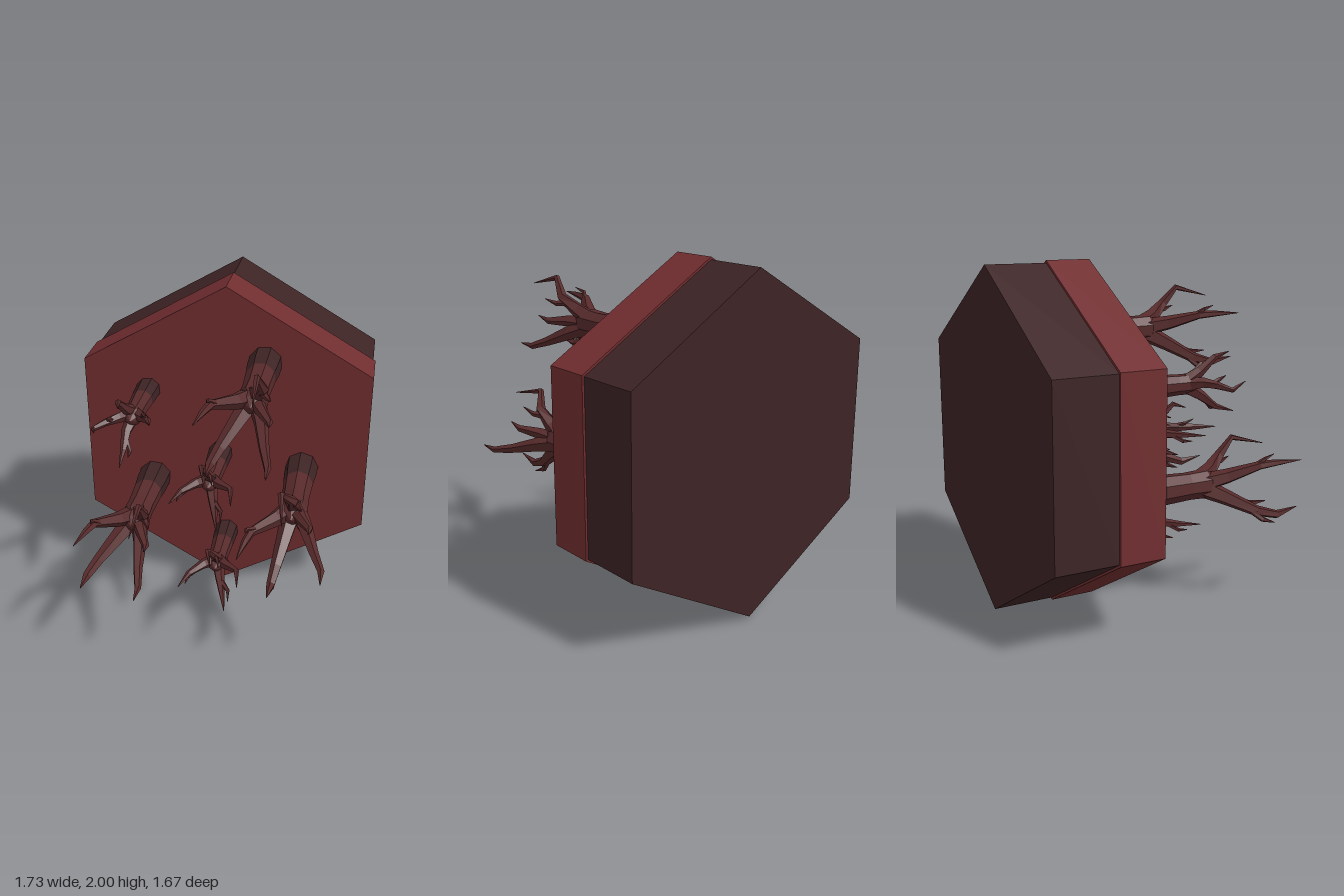
import * as THREE from 'three';

const mat = (name, color) => {
  const m = new THREE.MeshStandardMaterial({ color });
  m.name = name;
  return m;
};

// Faceted limb: points are [x, y, z, radius], with rings square to the path
function limb(points, sides) {
  const pos = [], index = [];
  const P = points.map(p => new THREE.Vector3(p[0], p[1], p[2]));
  const ref = new THREE.Vector3(0.31, 0.95, 0);
  P.forEach((p, i) => {
    const t = P[Math.min(i + 1, P.length - 1)].clone().sub(P[Math.max(i - 1, 0)]).normalize();
    const u = ref.clone().addScaledVector(t, -ref.dot(t)).normalize();
    const v = t.clone().cross(u);
    for (let j = 0; j < sides; j++) {
      const a = j / sides * Math.PI * 2, r = points[i][3];
      const q = p.clone().addScaledVector(u, Math.cos(a) * r).addScaledVector(v, Math.sin(a) * r);
      pos.push(q.x, q.y, q.z);
    }
  });
  for (let i = 0; i < P.length - 1; i++) {
    for (let j = 0; j < sides; j++) {
      const a = i * sides + j, b = i * sides + (j + 1) % sides;
      index.push(a, b, a + sides, b, b + sides, a + sides);
    }
  }
  const g = new THREE.BufferGeometry();
  g.setAttribute('position', new THREE.Float32BufferAttribute(pos, 3));
  g.setIndex(index);
  const flat = g.toNonIndexed();
  flat.computeVertexNormals();
  return flat;
}

// Tree shapes: dark root, trunk and branches growing along +z
const BIG = {
  root: [[0, 0, -0.22, 0.1], [0, 0, -0.1, 0.098], [0, 0, 0, 0.088]],
  trunk: [[0, 0, 0, 0.088], [0, 0, 0.18, 0.08], [0, 0, 0.3, 0.085], [0, 0, 0.37, 0.055], [0, 0, 0.41, 0.001]],
  branches: {
    upperBranch: [[0, 0.01, 0.24, 0.06], [0.035, 0.07, 0.36, 0.045], [0.075, 0.14, 0.46, 0.03], [0.05, 0.24, 0.54, 0.018], [0.06, 0.18, 0.77, 0.002]],
    upperTwig: [[0.06, 0.11, 0.42, 0.024], [0.1, 0.1, 0.48, 0.016], [0.125, 0.12, 0.56, 0.002]],
    sideBranch: [[0, 0, 0.24, 0.06], [-0.08, 0.035, 0.41, 0.045], [-0.18, 0.085, 0.57, 0.026], [-0.2, 0.09, 0.67, 0.02], [-0.225, 0.09, 0.83, 0.002]],
    sideTwig: [[-0.15, 0.07, 0.53, 0.02], [-0.19, 0.12, 0.6, 0.012], [-0.18, 0.14, 0.67, 0.002]],
    lowerBranch: [[0, 0, 0.24, 0.065], [-0.07, -0.09, 0.4, 0.047], [-0.14, -0.18, 0.55, 0.033], [-0.17, -0.215, 0.67, 0.025], [-0.165, -0.19, 0.82, 0.002]],
    lowerTwig: [[-0.13, -0.16, 0.51, 0.024], [-0.17, -0.23, 0.57, 0.016], [-0.175, -0.26, 0.65, 0.002]],
    innerBranch: [[0, 0, 0.24, 0.06], [0.06, -0.07, 0.41, 0.043], [0.1, -0.145, 0.58, 0.028], [0.135, -0.19, 0.7, 0.02], [0.14, -0.19, 0.82, 0.002]],
    shortBranch: [[0, 0, 0.27, 0.05], [0.06, 0, 0.42, 0.034], [0.12, -0.01, 0.54, 0.02], [0.13, 0.01, 0.63, 0.002]],
  },
};
const SMALL = {
  root: [[0, 0, -0.22, 0.074], [0, 0, -0.14, 0.072], [0, 0, -0.05, 0.066]],
  trunk: [[0, 0, -0.05, 0.066], [0, 0, 0.08, 0.058], [0, 0, 0.17, 0.058], [0, 0, 0.21, 0.038], [0, 0, 0.24, 0.001]],
  branches: {
    upperBranch: [[0, 0, 0.12, 0.045], [0.01, 0.07, 0.22, 0.03], [0, 0.13, 0.27, 0.022], [-0.02, 0.19, 0.325, 0.015], [0.015, 0.15, 0.44, 0.002]],
    upperTwig: [[0, 0.1, 0.24, 0.018], [0.03, 0.11, 0.29, 0.012], [0.045, 0.09, 0.35, 0.002]],
    sideBranch: [[0, 0, 0.12, 0.045], [-0.07, 0.025, 0.23, 0.03], [-0.14, 0.02, 0.33, 0.018], [-0.18, 0.01, 0.46, 0.002]],
    sideTwig: [[-0.1, 0.02, 0.27, 0.018], [-0.15, -0.015, 0.32, 0.012], [-0.155, -0.02, 0.38, 0.002]],
    innerBranch: [[0, 0, 0.12, 0.045], [0.07, 0.025, 0.22, 0.03], [0.145, 0.045, 0.3, 0.018], [0.165, 0.01, 0.42, 0.002]],
    lowerBranch: [[0, 0, 0.12, 0.045], [0.025, -0.07, 0.22, 0.03], [0.05, -0.12, 0.3, 0.02], [0.085, -0.165, 0.43, 0.002]],
    lowerTwig: [[0.03, -0.08, 0.23, 0.02], [0.09, -0.1, 0.31, 0.012], [0.1, -0.13, 0.38, 0.002]],
  },
};

function makeTree(shape, bark, darkBark) {
  const tree = new THREE.Group();
  const add = (name, points, sides, m) => {
    const mesh = new THREE.Mesh(limb(points, sides), m);
    mesh.name = name;
    tree.add(mesh);
  };
  add('root', shape.root, 8, darkBark);
  add('trunk', shape.trunk, 8, bark);
  for (const [name, points] of Object.entries(shape.branches)) add(name, points, 5, bark);
  return tree;
}

export function createModel() {
  const group = new THREE.Group();
  const red = mat('red soil', 0x702d2f);
  const dark = mat('dark earth', 0x3d2324);
  const bark = mat('reddish bark', 0x572a2b);

  // Hexagonal tile: red surface layer in front, dark layer behind
  const slab = (name, r, z0, z1, m) => {
    const g = new THREE.CylinderGeometry(r, r, z1 - z0, 6).toNonIndexed();
    g.computeVertexNormals();
    g.rotateX(Math.PI / 2);
    const mesh = new THREE.Mesh(g, m);
    mesh.name = name;
    mesh.position.set(0, 1, (z0 + z1) / 2);
    group.add(mesh);
  };
  slab('surfaceLayer', 1, -0.475, -0.21, red);
  slab('baseLayer', 0.985, -0.835, -0.475, dark);

  // Bare trees: shape, x, y, turn about the trunk in degrees
  const trees = [
    [BIG, 0.235, 1.555, 0], [BIG, -0.45, 0.73, -9], [BIG, 0.475, 0.88, 23],
    [SMALL, -0.475, 1.33, 90], [SMALL, -0.03, 0.935, 0], [SMALL, 0.01, 0.37, 2],
  ];
  trees.forEach(([shape, x, y, turn]) => {
    const tree = makeTree(shape, bark, dark);
    tree.name = shape === BIG ? 'largeTree' : 'smallTree';
    tree.position.set(x, y, 0);
    tree.rotation.z = THREE.MathUtils.degToRad(turn);
    group.add(tree);
  });
  return group;
}
